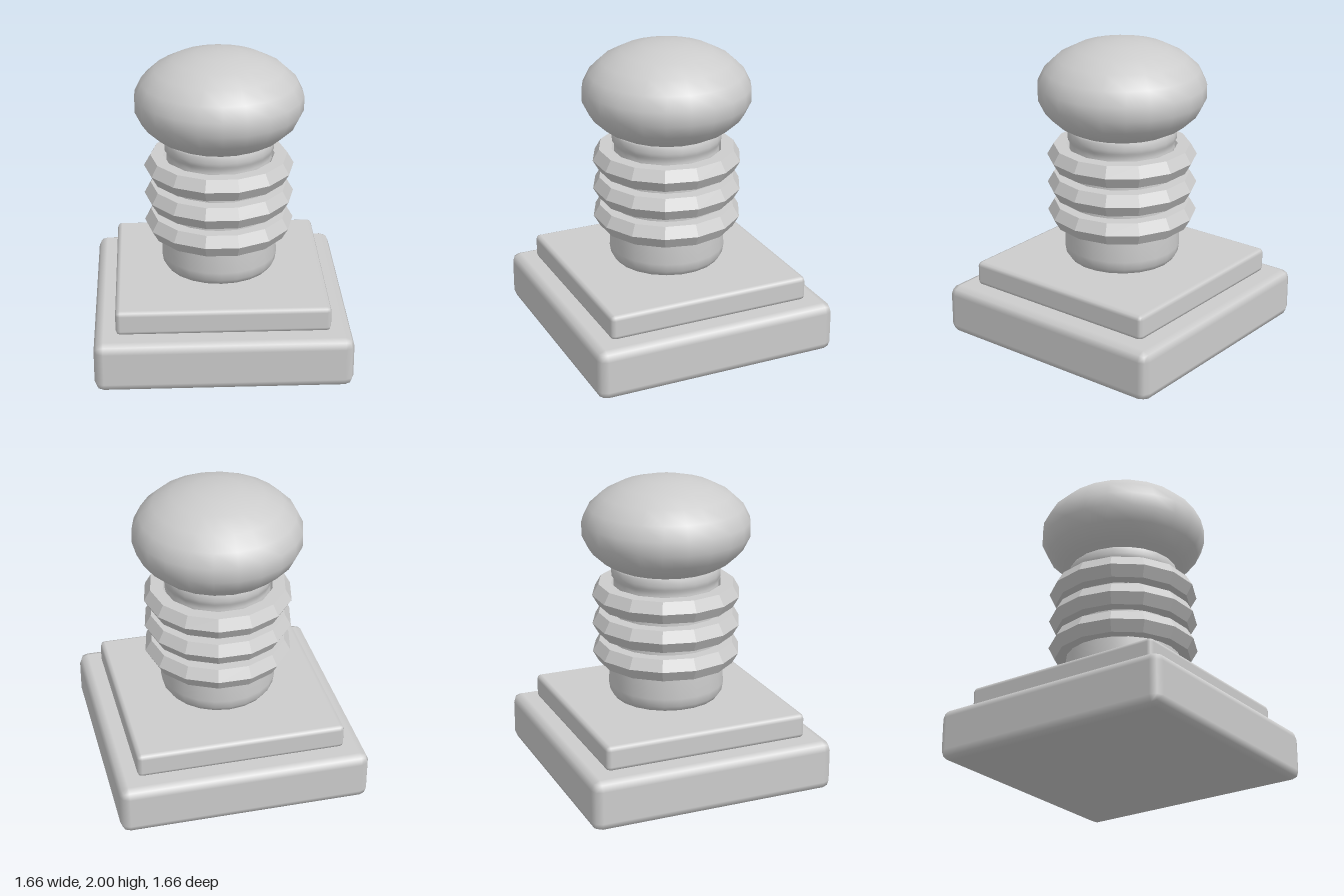
import * as THREE from 'three';
import { RoundedBoxGeometry } from 'three/addons/geometries/RoundedBoxGeometry.js';

export function createModel() {
  const model = new THREE.Group();
  model.name = 'bollard';

  const stone = new THREE.MeshStandardMaterial({ color: 0xcccccc });
  stone.name = 'grey';
  const stoneFlat = stone.clone(); // same grey, faceted for the rings
  stoneFlat.flatShading = true;

  const add = (name, geometry, y, material = stone) => {
    const mesh = new THREE.Mesh(geometry, material);
    mesh.name = name;
    mesh.position.y = y;
    model.add(mesh);
    return mesh;
  };

  // Stepped square plinth with softened edges
  add('base', new RoundedBoxGeometry(1.66, 0.335, 1.66, 1, 0.06), 0.1675);
  add('plinth', new RoundedBoxGeometry(1.38, 0.165, 1.38, 1, 0.03), 0.4175);

  // Turned shaft, slightly tapered, with a rounded foot and a collar under the head
  const profile = [
    [0, 0.5], [0.3, 0.5], [0.35, 0.52], [0.375, 0.555], [0.384, 0.61],
    [0.376, 0.77], [0.367, 0.95], [0.36, 1.13], [0.345, 1.3], [0.347, 1.33],
    [0.358, 1.345], [0.36, 1.37], [0.36, 1.41], [0.345, 1.425], [0, 1.425],
  ].map(([r, y]) => new THREE.Vector2(r, y));
  add('shaft', new THREE.LatheGeometry(profile, 22), 0);

  // Three faceted rings with a hexagonal section
  const ringGeometry = new THREE.TorusGeometry(0.407, 0.084, 6, 14).rotateX(Math.PI / 2);
  [0.838, 1.032, 1.226].forEach((y, i) => add(`ring${i + 1}`, ringGeometry, y, stoneFlat));

  // Flattened round head
  const head = new THREE.SphereGeometry(1, 22, 11).rotateY(Math.PI / 2).scale(0.555, 0.33, 0.555);
  add('head', head, 1.67);

  return model;
}
